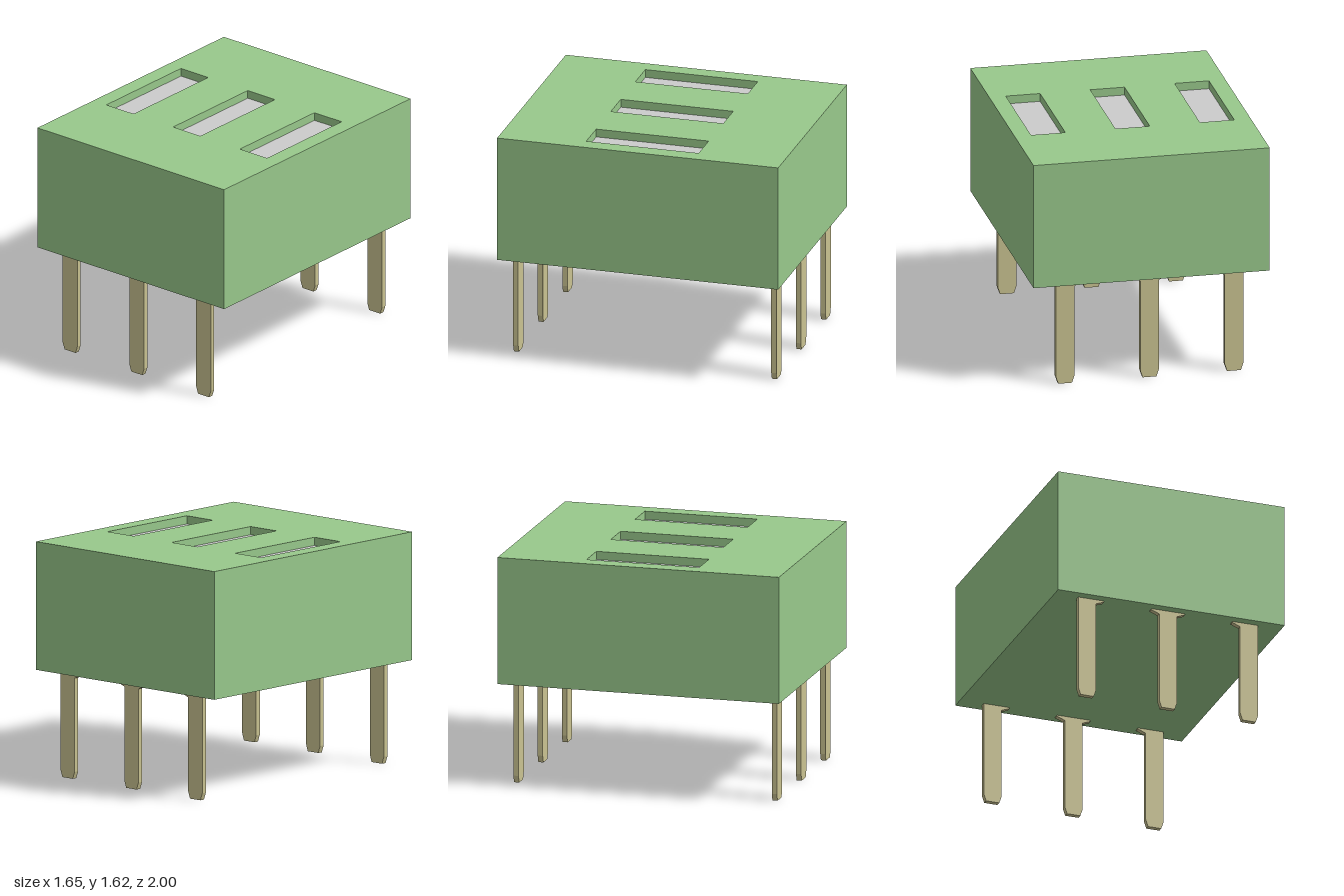
import * as THREE from 'three';

const GREEN = 0x98c88b, METAL = 0xcac391, GREY = 0xcccccc;
const W = 1.65, D = 2, BOTTOM = 0.73, TOP = 1.62, SLOT_DEPTH = 0.06;
const SLOT_W = 0.24, SLOT_D = 0.8, PITCH = 0.59;
const PIN_Z = 0.918, PIN_T = 0.036;

const material = (color) => new THREE.MeshStandardMaterial({ color, flatShading: true });

function add(parent, name, geometry, mat, x = 0, y = 0, z = 0) {
  const mesh = new THREE.Mesh(geometry, mat);
  mesh.name = name;
  mesh.position.set(x, y, z);
  parent.add(mesh);
  return mesh;
}

// Rectangle outline centred on (x, 0)
function rect(Type, x, w, h) {
  return new Type([[-1, -1], [1, -1], [1, 1], [-1, 1]]
    .map(([a, b]) => new THREE.Vector2(x + a * w / 2, b * h / 2)));
}

// Flat pin with a chamfered tip and a shoulder on one or both sides
function pinGeometry(flareLeft, flareRight) {
  const side = (flare) => [
    [0.048, 0], [0.065, 0.05], [0.065, 0.70],
    ...(flare ? [[0.122, 0.722], [0.122, BOTTOM]] : [[0.065, BOTTOM]]),
  ];
  const right = side(flareRight);
  const left = side(flareLeft).map(([x, y]) => [-x, y]).reverse();
  const shape = new THREE.Shape([...right, ...left].map(([x, y]) => new THREE.Vector2(x, y)));
  return new THREE.ExtrudeGeometry(shape, { depth: PIN_T, bevelEnabled: false })
    .translate(0, 0, -PIN_T / 2);
}

export function createModel() {
  const model = new THREE.Group();
  model.name = 'pinHousing';
  const green = material(GREEN), metal = material(METAL), grey = material(GREY);
  const columns = [-1, 0, 1];

  // Solid lower housing
  const lowerH = TOP - SLOT_DEPTH - BOTTOM;
  add(model, 'housing', new THREE.BoxGeometry(W, lowerH, D), green, 0, BOTTOM + lowerH / 2, 0);

  // Top layer pierced by three slots
  const cover = rect(THREE.Shape, 0, W, D);
  columns.forEach((c) => cover.holes.push(rect(THREE.Path, c * PITCH, SLOT_W, SLOT_D)));
  const coverGeometry = new THREE.ExtrudeGeometry(cover, { depth: SLOT_DEPTH, bevelEnabled: false })
    .rotateX(-Math.PI / 2);
  add(model, 'slottedTop', coverGeometry, green, 0, TOP - SLOT_DEPTH, 0);

  // Grey slot floors
  const floor = new THREE.PlaneGeometry(SLOT_W, SLOT_D).rotateX(-Math.PI / 2);
  columns.forEach((c) => add(model, 'slotFloor', floor, grey, c * PITCH, TOP - SLOT_DEPTH + 0.003, 0));

  // Two rows of pins; the outer ones carry only the inward shoulder
  columns.forEach((c) => {
    const geometry = pinGeometry(c >= 0, c <= 0);
    for (const s of [1, -1]) {
      add(model, s > 0 ? 'frontPin' : 'backPin', geometry, metal, c * PITCH, 0, s * PIN_Z);
    }
  });

  return model;
}
